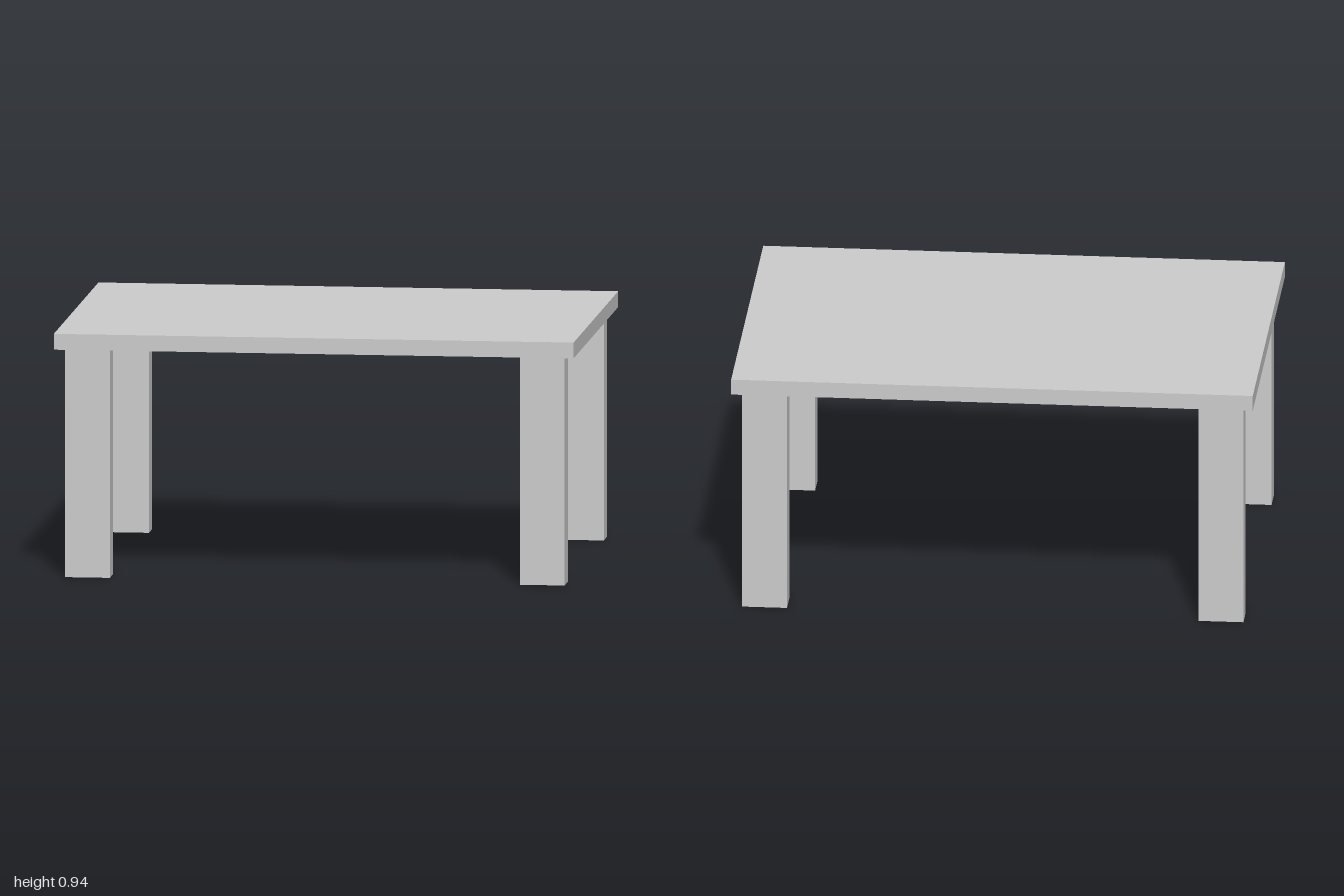
import * as THREE from 'three';

export function createModel() {
  const table = new THREE.Group();
  table.name = 'table';
  const material = new THREE.MeshStandardMaterial({ color: 0xcccccc, flatShading: true });

  const topHeight = 0.943, topThickness = 0.061;
  const legHeight = topHeight - topThickness;

  // Adds a named box standing on height y
  function addBox(name, width, height, depth, x, y, z) {
    const mesh = new THREE.Mesh(new THREE.BoxGeometry(width, height, depth), material);
    mesh.name = name;
    mesh.position.set(x, y + height / 2, z);
    table.add(mesh);
  }

  // Table top
  addBox('tableTop', 2, topThickness, 1.42, 0, legHeight, 0);

  // Four legs, set in slightly from the corners
  for (const [side, sx] of [['Left', 1], ['Right', -1]]) {
    for (const [end, sz] of [['front', 1], ['back', -1]]) {
      addBox(`${end}${side}Leg`, 0.172, legHeight, 0.1, sx * 0.875, 0, sz * 0.622);
    }
  }

  return table;
}
